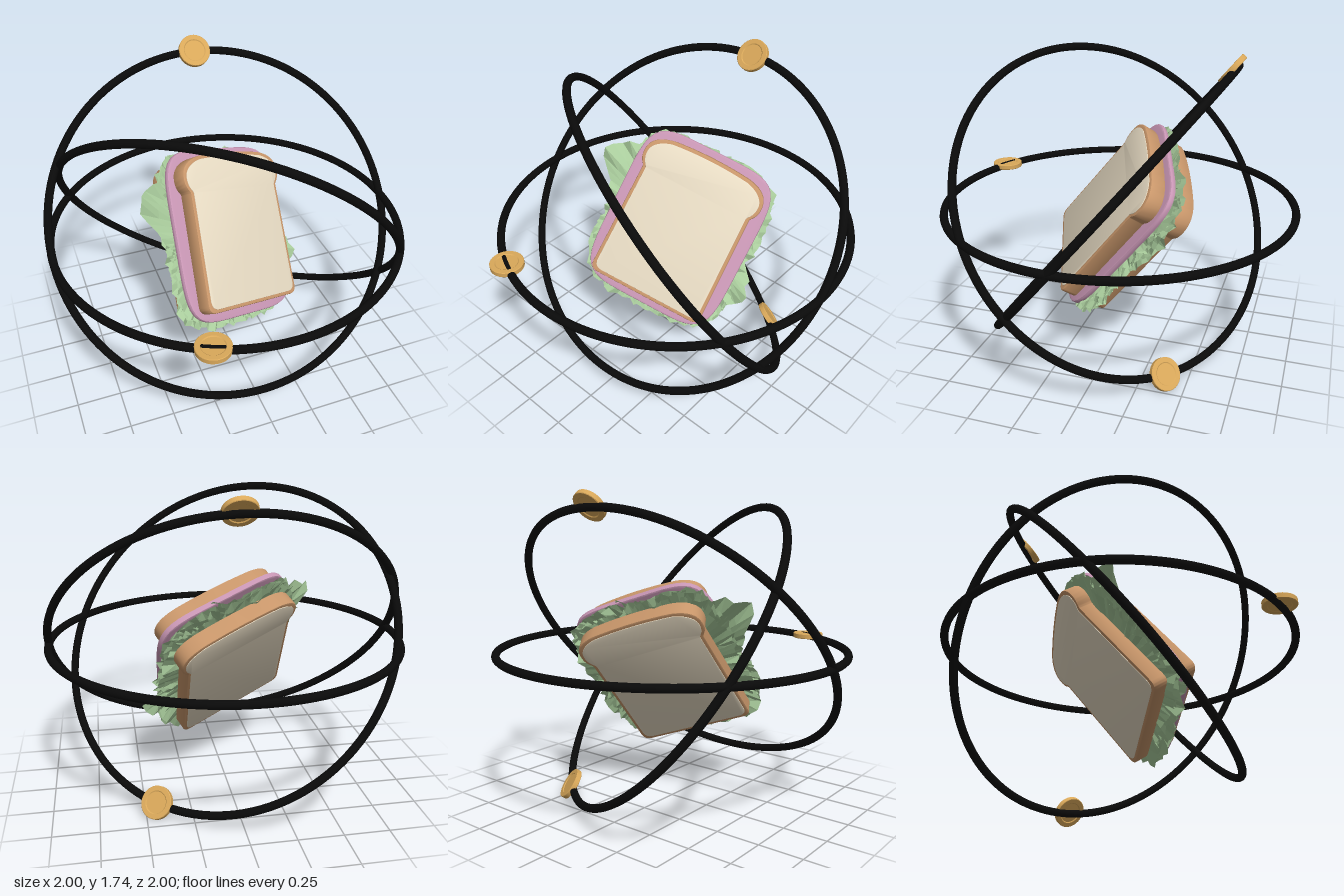
import * as THREE from 'three';
import { toCreasedNormals } from 'three/addons/utils/BufferGeometryUtils.js';

const mat = (color, extra = {}) => new THREE.MeshStandardMaterial({ color, ...extra });
const crustMat = mat(0xc8966a);
const crumbMat = mat(0xe8dcc4);
const hamMat = mat(0xc896b4);
const lettuceMat = mat(0xa9cc9c, { side: THREE.DoubleSide, flatShading: true });
const ringMat = mat(0x0a0a0a);
const coinMat = mat(0xd9a85a);

function addMesh(parent, name, geometry, material) {
  const mesh = new THREE.Mesh(geometry, material);
  mesh.name = name;
  parent.add(mesh);
  return mesh;
}

// Slab between z = back and z = back + thickness with a small rounded edge
function slab(shape, back, thickness, bevel) {
  const geo = new THREE.ExtrudeGeometry(shape, {
    depth: thickness - 2 * bevel, bevelThickness: bevel, bevelSize: bevel,
    bevelOffset: -bevel, bevelSegments: 2, curveSegments: 10,
  });
  geo.translate(0, 0, back + bevel);
  return toCreasedNormals(geo, 0.6);
}

// Slice outline: straight sides, notched shoulders and a low domed top
function sliceShape(i) {
  const w = 0.345 - i, b = -0.41 + i, lobe = 0.365 - i, top = 0.46 - i, r = 0.05;
  const s = new THREE.Shape();
  s.moveTo(-w + r, b);
  s.lineTo(w - r, b);
  s.quadraticCurveTo(w, b, w, b + r);
  s.lineTo(w - 0.012, 0.245);
  s.bezierCurveTo(w - 0.01, 0.265, lobe, 0.27, lobe, 0.33);
  s.bezierCurveTo(lobe, 0.40 - i, 0.31 - i, top - 0.025, 0.23, top - 0.012);
  s.quadraticCurveTo(0, top + 0.012, -0.23, top - 0.012);
  s.bezierCurveTo(-0.31 + i, top - 0.025, -lobe, 0.40 - i, -lobe, 0.33);
  s.bezierCurveTo(-lobe, 0.27, -w + 0.01, 0.265, -w + 0.012, 0.245);
  s.lineTo(-w, b + r);
  s.quadraticCurveTo(-w, b, -w + r, b);
  return s;
}

function breadSlice(name, back) {
  const g = new THREE.Group();
  g.name = name;
  addMesh(g, 'crust', slab(sliceShape(0), back, 0.09, 0.008), crustMat);
  addMesh(g, 'crumb', slab(sliceShape(0.02), back - 0.003, 0.096, 0.002), crumbMat);
  return g;
}

// Radius of a rounded rectangle at a given angle
function squareRadius(angle, a, b, p) {
  const c = Math.abs(Math.cos(angle) / a), s = Math.abs(Math.sin(angle) / b);
  return Math.pow(c ** p + s ** p, -1 / p);
}

function hamShape() {
  const pts = [];
  for (let k = 0; k < 96; k++) {
    const a = (k / 96) * Math.PI * 2, r = squareRadius(a, 0.41, 0.485, 5.5);
    pts.push(new THREE.Vector2(Math.cos(a) * r, Math.sin(a) * r + 0.015));
  }
  return new THREE.Shape(pts);
}

function seeded(seed) {
  return () => (seed = (seed * 16807) % 2147483647) / 2147483647;
}

// Ruffled leaf: flat in the middle, jagged and wavy towards the rim
function leafGeometry(seed, z, tips) {
  const n = 84, rings = 5, rand = seeded(seed * 7919 + 13);
  const jag = [], wave = [];
  for (let k = 0; k < n; k++) {
    jag.push((rand() - 0.5) * 0.05);
    wave.push((rand() - 0.5) * 0.045);
  }
  const geo = new THREE.RingGeometry(0.01, 1, n, rings);
  const pos = geo.attributes.position;
  for (let j = 0; j <= rings; j++) {
    for (let k = 0; k <= n; k++) {
      const a = (k / n) * Math.PI * 2, q = k % n, t = Math.max(0.02, j / rings);
      let r = squareRadius(a, 0.42, 0.475, 5) + jag[q] + 0.02 * Math.sin(a * 5 + seed);
      for (const [angle, size, width] of tips) {
        const d = Math.atan2(Math.sin(a - angle), Math.cos(a - angle));
        r += size * Math.exp(-((d / width) ** 2));
      }
      const ripple = (wave[q] + 0.012 * Math.sin(a * 9 + seed * 2)) * t ** 4;
      pos.setXYZ(j * (n + 1) + k, Math.cos(a) * r * t, Math.sin(a) * r * t, z + ripple);
    }
  }
  geo.computeVertexNormals();
  return geo;
}

function buildSandwich() {
  const g = new THREE.Group();
  g.name = 'sandwich';
  g.add(breadSlice('frontBread', -0.09), breadSlice('backBread', -0.28));
  addMesh(g, 'ham', slab(hamShape(), -0.122, 0.034, 0.01), hamMat);
  const leafTips = [
    [[2.8, 0.15, 0.26]], [[-0.34, 0.1, 0.22]], [[1.2, 0.03, 0.3]],
    [[-1.8, 0.03, 0.4]], [[2.6, 0.05, 0.3]], [],
  ];
  leafTips.forEach((tips, k) =>
    addMesh(g, 'lettuceLeaf', leafGeometry(k + 1, -0.135 - k * 0.01, tips), lettuceMat));

  // Tilted so that the front slice faces up, forward and to the left
  const up = new THREE.Vector3(0.049, 0.778, -0.626).normalize();
  const normal = new THREE.Vector3(0.445, 0.544, 0.712);
  const right = new THREE.Vector3().crossVectors(up, normal).normalize();
  normal.crossVectors(right, up);
  g.quaternion.setFromRotationMatrix(new THREE.Matrix4().makeBasis(right, up, normal));
  g.position.set(0.075, 0.86, 0.09);
  return g;
}

// Disc with a raised rim on both faces
function coinGeometry() {
  const half = [[0, 0.011], [0.058, 0.011], [0.063, 0.015], [0.087, 0.015], [0.09, 0.012]];
  const profile = [...half, ...half.map(([r, y]) => [r, -y]).reverse()].reverse();
  const geo = new THREE.LatheGeometry(profile.map(([r, y]) => new THREE.Vector2(r, y)), 40);
  return toCreasedNormals(geo, 0.5);
}

// Orbit ring lying across its normal, carrying one coin
function buildOrbit(name, centre, normal, coinAt, offset) {
  const g = new THREE.Group();
  g.name = name;
  const n = new THREE.Vector3(...normal).normalize();
  const ring = addMesh(g, 'ring', new THREE.TorusGeometry(0.978, 0.022, 12, 128), ringMat);
  ring.quaternion.setFromUnitVectors(new THREE.Vector3(0, 0, 1), n);
  ring.position.set(...centre);
  const coin = addMesh(g, 'coin', coinGeometry(), coinMat);
  coin.quaternion.setFromUnitVectors(new THREE.Vector3(0, 1, 0), n);
  const out = new THREE.Vector3(...coinAt).sub(ring.position).projectOnPlane(n).setLength(0.974);
  coin.position.copy(ring.position).add(out).addScaledVector(n, offset);
  return g;
}

export function createModel() {
  const model = new THREE.Group();
  model.name = 'sandwichWithOrbits';
  model.add(
    buildSandwich(),
    buildOrbit('levelOrbit', [0, 0.878, 0], [0, 1, 0], [-0.39, 0.878, 0.89], 0.008),
    buildOrbit('forwardOrbit', [0, 0.91, 0.01], [0, 0.64, 0.767], [0.035, 1.66, -0.61], 0.016),
    buildOrbit('sideOrbit', [0.01, 0.868, -0.014], [0.49, 0.57, -0.66], [0.43, 0.08, -0.38], 0.014),
  );
  return model;
}
